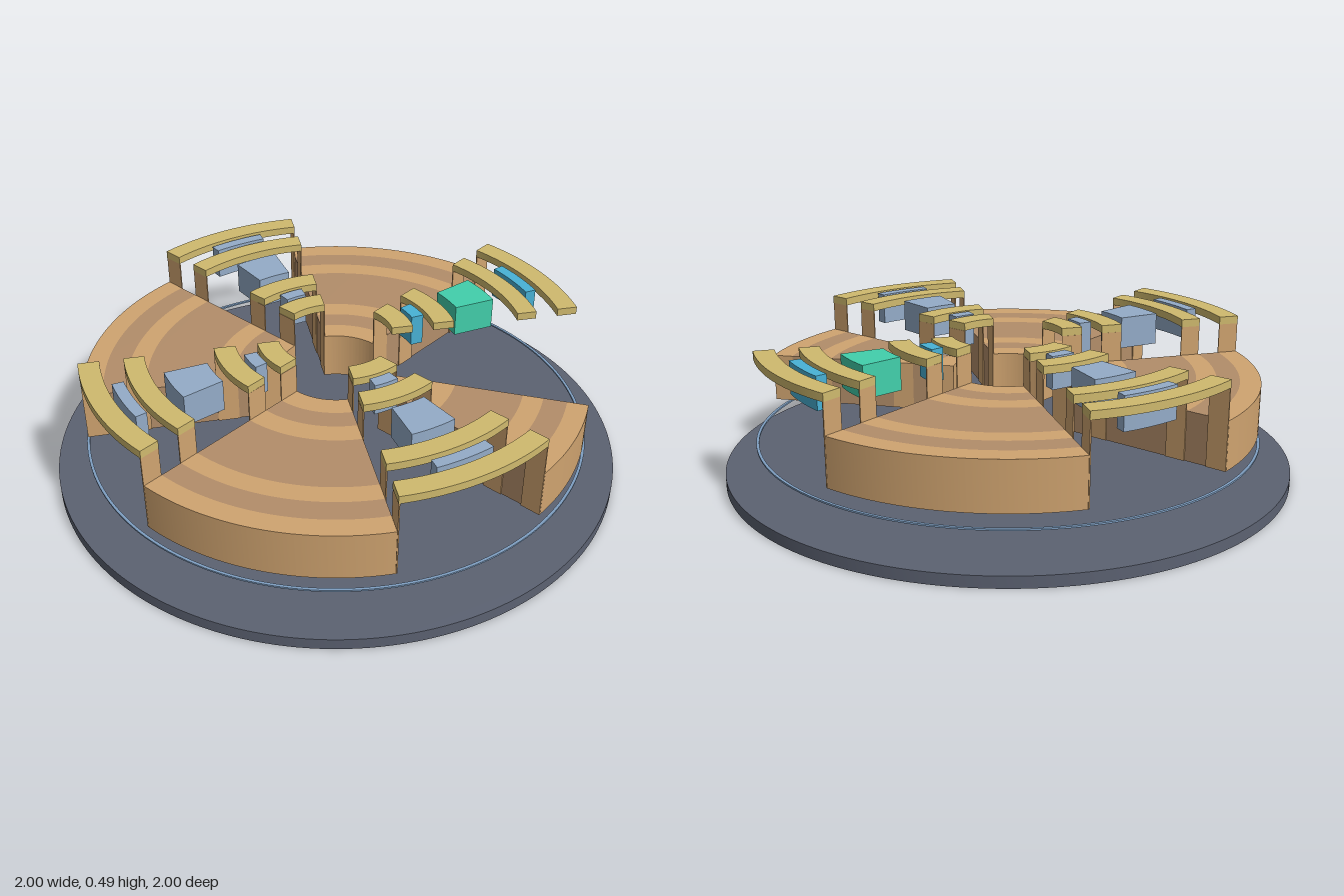
import * as THREE from 'three';
import { toCreasedNormals } from 'three/addons/utils/BufferGeometryUtils.js';

const material = (name, color, side = THREE.FrontSide) => {
  const m = new THREE.MeshStandardMaterial({ color, side });
  m.name = name;
  return m;
};
const rad = THREE.MathUtils.degToRad;

// Ring sector between two radii and two angles (degrees, counter-clockwise seen from above)
function sectorGeometry(r0, r1, a0, a1, y0, y1) {
  const shape = new THREE.Shape();
  shape.absarc(0, 0, r1, rad(a0), rad(a1), false);
  shape.absarc(0, 0, r0, rad(a1), rad(a0), true);
  shape.closePath();
  const g = new THREE.ExtrudeGeometry(shape, { depth: y1 - y0, bevelEnabled: false, curveSegments: 24 });
  g.rotateX(-Math.PI / 2).translate(0, y0, 0);
  return toCreasedNormals(g, rad(25));
}

// Full flat ring with a round hole
function ringGeometry(r0, r1, y0, y1) {
  const shape = new THREE.Shape();
  shape.absarc(0, 0, r1, 0, Math.PI * 2, false);
  const hole = new THREE.Path();
  hole.absarc(0, 0, r0, 0, Math.PI * 2, true);
  shape.holes.push(hole);
  const g = new THREE.ExtrudeGeometry(shape, { depth: y1 - y0, bevelEnabled: false, curveSegments: 96 });
  g.rotateX(-Math.PI / 2).translate(0, y0, 0);
  return toCreasedNormals(g, rad(25));
}

export function createModel() {
  const slate = material('slate', 0x5c6272);
  const paleBlue = material('pale blue', 0x7f9fc2);
  const lightWood = material('light tan', 0xd0a470);
  const darkWood = material('dark tan', 0xb38e6a);
  const yellow = material('straw yellow', 0xd0ba6e);
  const blueGrey = material('blue grey', 0x94acc8);
  const teal = material('sky teal', 0x48b2d6);
  const green = material('sea green', 0x42d0ac);

  const model = new THREE.Group();
  const add = (parent, name, geometry, mat) => {
    const mesh = new THREE.Mesh(geometry, mat);
    mesh.name = name;
    parent.add(mesh);
    return mesh;
  };

  // Base plate with centre hole, and the thin ring hovering over it
  add(model, 'basePlate', ringGeometry(0.025, 1, 0, 0.04), slate);
  add(model, 'guideRing', ringGeometry(0.88, 0.89, 0.13, 0.136), paleBlue);

  const radii = [0.2, 0.275, 0.35, 0.425, 0.66, 0.73, 0.81, 0.882];
  const blocks = [[0.29, 0.335], [0.465, 0.615], [0.75, 0.79]];

  for (let q = 0; q < 4; q++) {
    const start = q * 90;

    // Banded wedge; the last one is cut short
    const wedge = new THREE.Group();
    wedge.name = 'wedge' + (q + 1);
    model.add(wedge);
    const end = start + (q === 3 ? 63 : 90);
    for (let i = 0; i < 7; i++) {
      add(wedge, 'wedgeBand', sectorGeometry(radii[i], radii[i + 1], start + 36, end, 0.18, 0.35),
        i % 2 ? darkWood : lightWood);
    }

    // Raised arcs bridging the gap, with thin posts where they meet a wedge
    const bridge = new THREE.Group();
    bridge.name = 'bridge' + (q + 1);
    model.add(bridge);
    for (let i = 0; i < 7; i += 2) {
      const r0 = radii[i], r1 = radii[i + 1];
      add(bridge, 'bridgeArc', sectorGeometry(r0, r1, start, start + 36, 0.457, 0.485), yellow);
      for (const offset of q === 0 ? [36] : [0, 36]) {
        const post = add(bridge, 'bridgePost', new THREE.BoxGeometry(r1 - r0, 0.277, 0.004), lightWood);
        const a = rad(start + offset + (offset ? -0.2 : 0.2));
        const r = (r0 + r1) / 2;
        post.position.set(r * Math.cos(a), 0.3185, -r * Math.sin(a));
        post.rotation.y = a;
      }
    }

    // Blocks floating between the arcs; the first set is highlighted
    blocks.forEach(([r0, r1], i) => {
      const mat = q > 0 ? blueGrey : i === 1 ? green : teal;
      add(bridge, 'floatingBlock', sectorGeometry(r0, r1, start + 10.5, start + 25.5, 0.37, 0.485), mat);
    });
  }
  return model;
}
